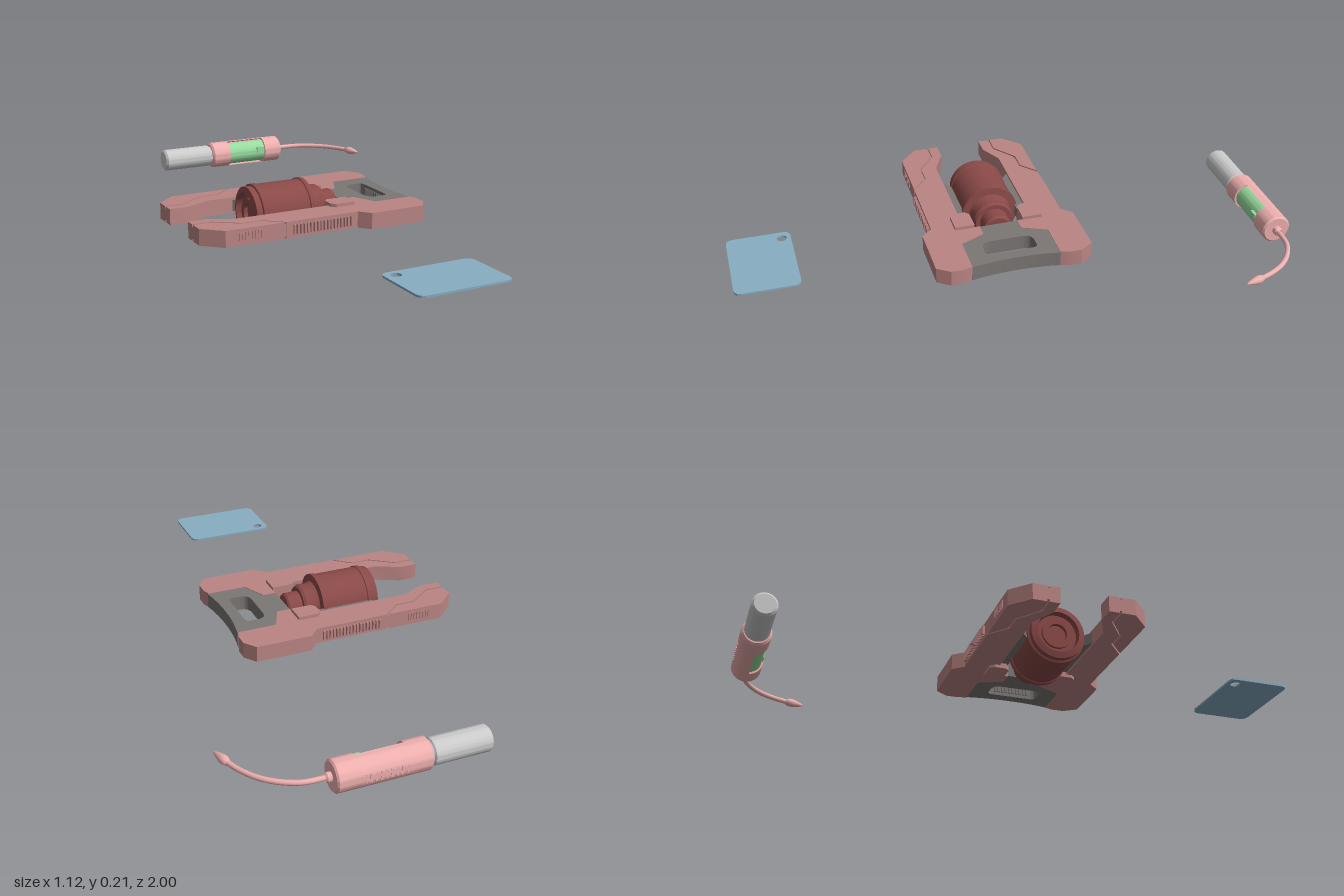
import * as THREE from 'three';
import { toCreasedNormals } from 'three/addons/utils/BufferGeometryUtils.js';

const material = (color) => new THREE.MeshStandardMaterial({ color, side: THREE.DoubleSide });
const V2 = (p) => new THREE.Vector2(p[0], p[1]);

export function createModel() {
  const model = new THREE.Group();
  const pink = material(0xba8583), grey = material(0x7b7775), red = material(0x8a4a48);
  const palePink = material(0xeeb0af), green = material(0x98dca0);
  const silver = material(0xbdbdbd), blue = material(0x87adc2);

  const add = (parent, name, geometry, mat) => {
    const mesh = new THREE.Mesh(geometry, mat);
    mesh.name = name;
    parent.add(mesh);
    return mesh;
  };

  // Horizontal plate from an (x, z) outline between two heights
  const slab = (parent, name, shape, y0, y1, mat) => {
    const g = new THREE.ExtrudeGeometry(shape, { depth: y1 - y0, bevelEnabled: false, curveSegments: 12 });
    g.rotateX(-Math.PI / 2).translate(0, y0, 0);
    return add(parent, name, toCreasedNormals(g, 0.6), mat);
  };
  const outline = (pts, side = 1) => new THREE.Shape(pts.map(([x, z]) => V2([x, -z * side])));

  // Turned part along x from [x, radius] pairs
  const turned = (parent, name, profile, mat, start = 0, length = Math.PI * 2) => {
    const g = new THREE.LatheGeometry(profile.map(([x, r]) => V2([r, x])), 48, start, length);
    g.rotateZ(-Math.PI / 2);
    return add(parent, name, toCreasedNormals(g, 0.5), mat);
  };

  const box = (parent, name, w, h, d, x, y, z, mat) => {
    const m = add(parent, name, new THREE.BoxGeometry(w, h, d), mat);
    m.position.set(x, y, z);
    return m;
  };

  // ---- Forked frame with the canister ----
  const tool = new THREE.Group();
  tool.name = 'forkedTool';
  tool.position.z = 0.04;
  model.add(tool);

  const low = 0.078, high = 0.136;
  const seam = [[-0.563, 0.122], [-0.495, 0.122], [-0.41, 0.185], [-0.34, 0.185], [-0.272, 0.243]];
  const shift = (d) => seam.map(([x, z]) => [x, z + d]);
  for (const side of [1, -1]) {
    const arm = new THREE.Group();
    arm.name = side > 0 ? 'frontArm' : 'backArm';
    tool.add(arm);
    // main arm, running into the wide shoulder
    slab(arm, 'armBody', outline([
      ...seam, [0, 0.243], [0.035, 0.282], [0.24, 0.282], [0.272, 0.236], [0.272, 0.19],
      [0.262, 0.159], [0.12, 0.159], [0.08, 0.07], [0.03, 0.07], [0.03, 0.127],
      [-0.41, 0.127], [-0.495, 0.085], [-0.563, 0.085],
    ], side), low, high, pink);
    // outer jaw plate, parted from the arm by a groove
    slab(arm, 'jawPlate', outline([
      ...shift(0.008).slice(0, 4), [-0.281, 0.243], [-0.495, 0.243], [-0.563, 0.18],
    ], side), low, high, pink);
    slab(arm, 'grooveFloor', outline([...seam.slice(0, 4), [-0.272, 0.242], [-0.281, 0.242],
      ...shift(0.008).slice(0, 4).reverse()], side), low + 0.008, high - 0.008, pink);
    // inner rail beside the canister
    slab(arm, 'innerRail', outline([
      [-0.31, 0.128], [-0.27, 0.095], [0.03, 0.095], [0.03, 0.128],
    ], side), 0.086, 0.126, grey);
    // clamp block standing proud above and below
    slab(arm, 'clampBlock', outline([
      [-0.055, 0.105], [-0.04, 0.09], [0.033, 0.09], [0.033, 0.162], [-0.04, 0.162], [-0.055, 0.147],
    ], side), 0.067, 0.148, pink);
    // grip ribs along the outer flank
    for (let i = 0; i < 18; i++)
      box(arm, 'gripRib', 0.007, 0.034, 0.014, -0.245 + i * 0.0128, 0.107, side * 0.246, pink);
    for (let i = 0; i < 8; i++)
      box(arm, 'jawRib', 0.006, 0.028, 0.008, -0.444 + i * 0.0115, 0.109, side * 0.2425, pink);
  }

  // grey handle with concave end and rounded slot
  const handle = new THREE.Shape();
  handle.moveTo(0.03, -0.07);
  handle.lineTo(0.08, -0.07);
  handle.lineTo(0.12, -0.159);
  handle.lineTo(0.265, -0.159);
  handle.bezierCurveTo(0.245, -0.06, 0.245, 0.06, 0.265, 0.159);
  handle.lineTo(0.12, 0.159);
  handle.lineTo(0.08, 0.07);
  handle.lineTo(0.03, 0.07);
  const slot = new THREE.Path();
  slot.moveTo(0.13, -0.06);
  slot.quadraticCurveTo(0.132, -0.094, 0.165, -0.094);
  slot.lineTo(0.19, -0.094);
  slot.quadraticCurveTo(0.208, -0.094, 0.208, -0.075);
  slot.lineTo(0.208, 0.075);
  slot.quadraticCurveTo(0.208, 0.094, 0.19, 0.094);
  slot.lineTo(0.165, 0.094);
  slot.quadraticCurveTo(0.132, 0.094, 0.13, 0.06);
  slot.closePath();
  handle.holes.push(slot);
  slab(tool, 'handle', handle, 0.08, 0.134, grey);
  for (let i = 0; i < 10; i++)
    box(tool, 'slotRib', 0.008, 0.03, 0.008, 0.206, 0.107, -0.063 + i * 0.014, grey);

  // canister with rims, neck, nozzle and a recessed end
  const canister = turned(tool, 'canister', [
    [-0.29, 0], [-0.29, 0.035], [-0.305, 0.035], [-0.305, 0.055], [-0.295, 0.055], [-0.295, 0.072],
    [-0.317, 0.076], [-0.311, 0.097], [-0.29, 0.097], [-0.287, 0.104], [-0.27, 0.104], [-0.268, 0.101],
    [-0.107, 0.101], [-0.105, 0.105], [-0.09, 0.105], [-0.087, 0.079], [-0.075, 0.074],
    [-0.04, 0.074], [-0.03, 0.068], [-0.03, 0.052], [0.018, 0.052], [0.025, 0.046], [0.025, 0],
  ], red);
  canister.position.y = 0.107;

  // ---- Pen with a hooked probe ----
  const pen = new THREE.Group();
  pen.name = 'probePen';
  pen.position.set(0, 0.083, -0.947);
  model.add(pen);
  const R = 0.053;
  turned(pen, 'penCap', [[-0.25, 0], [-0.25, 0.036], [-0.242, 0.044], [-0.05, 0.044], [-0.045, 0.038], [-0.03, 0.038]], silver);
  turned(pen, 'rearSleeve', [[-0.04, 0], [-0.04, 0.045], [-0.033, R], [0.04, R], [0.04, 0]], palePink);
  turned(pen, 'frontSleeve', [[0.203, 0], [0.203, R], [0.274, R], [0.28, 0.047], [0.28, 0]], palePink);
  turned(pen, 'backShell', [[0.04, R], [0.203, R], [0.203, 0.046], [0.04, 0.046]], palePink,
    THREE.MathUtils.degToRad(82), THREE.MathUtils.degToRad(196));
  turned(pen, 'greenCore', [[0.035, 0.046], [0.208, 0.046]], green);
  box(pen, 'slider', 0.035, 0.022, 0.012, 0.183, 0.012, 0.045, green);
  for (let i = 0; i < 9; i++)
    box(pen, 'penRib', 0.007, 0.03, 0.006, 0.052 + i * 0.0172, 0, -0.0505, palePink);

  // curved probe and flattened leaf-shaped tip
  turned(pen, 'probeCollar', [[0.275, 0.016], [0.294, 0.016], [0.3, 0.011]], palePink);
  const path = new THREE.CatmullRomCurve3([
    [0.28, 0, 0], [0.37, 0, 0.006], [0.43, 0, 0.034], [0.48, 0, 0.078], [0.515, 0, 0.132], [0.537, 0, 0.185],
  ].map((p) => new THREE.Vector3(...p)));
  add(pen, 'probe', new THREE.TubeGeometry(path, 40, 0.009, 12), palePink);
  const tip = add(pen, 'probeTip', new THREE.LatheGeometry(
    [[0, 0], [0.01, 0], [0.015, 0.015], [0.015, 0.03], [0.009, 0.055], [0.004, 0.07], [0, 0.074]].map(V2), 16), palePink);
  tip.position.set(0.535, 0, 0.18);
  tip.quaternion.setFromUnitVectors(new THREE.Vector3(0, 1, 0), new THREE.Vector3(0.27, 0, 0.96).normalize());

  // ---- Flat card with a punched corner hole ----
  const [x0, x1, z0, z1, c] = [-0.2, 0.135, 0.767, 0.998, 0.03];
  const card = new THREE.Shape();
  card.moveTo(x0 + c, -z1);
  card.lineTo(x1 - c, -z1);
  card.quadraticCurveTo(x1, -z1, x1, -z1 + c);
  card.lineTo(x1, -z0 - c);
  card.quadraticCurveTo(x1, -z0, x1 - c, -z0);
  card.lineTo(x0 + c, -z0);
  card.quadraticCurveTo(x0, -z0, x0, -z0 - c);
  card.lineTo(x0, -z1 + c);
  card.quadraticCurveTo(x0, -z1, x0 + c, -z1);
  const hole = new THREE.Path();
  hole.absarc(-0.161, -0.8, 0.018, 0, Math.PI * 2, true);
  card.holes.push(hole);
  slab(model, 'card', card, 0.083, 0.09, blue);

  return model;
}
